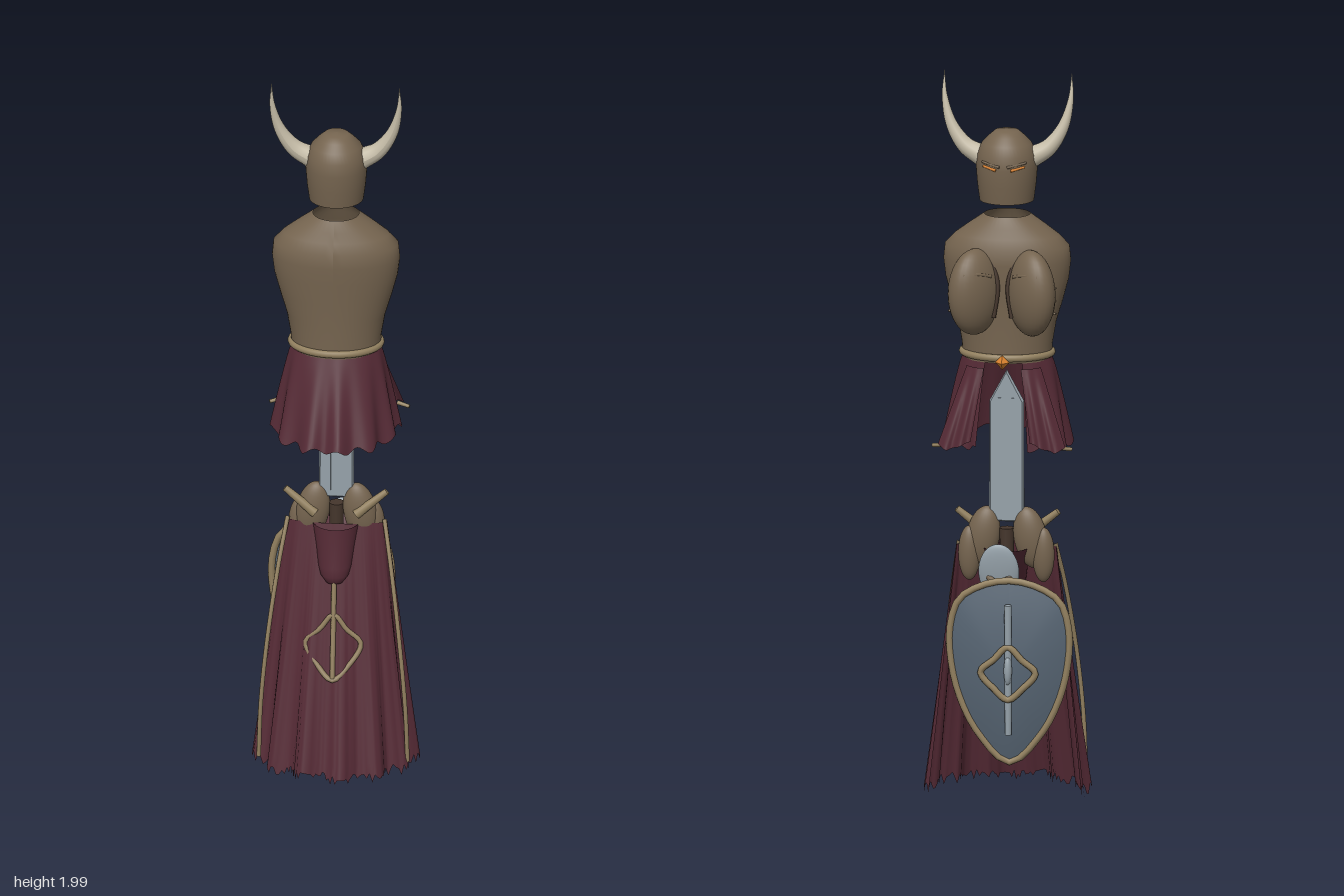
import * as THREE from 'three';

const mat = (color, double) => new THREE.MeshStandardMaterial({ color, side: double ? THREE.DoubleSide : THREE.FrontSide });
const BROWN = mat(0x75644f, true), DARK = mat(0x45362c), CLOTH = mat(0x552a35, true);
const TAN = mat(0x92805f), HORN = mat(0xc4bba6), STEEL = mat(0x96a2aa);
const SLATE = mat(0x566472, true), ORANGE = mat(0xd9822f);
const V = (x, y, z) => new THREE.Vector3(x, y, z);
const { lerp, smoothstep } = THREE.MathUtils;

function add(parent, name, geo, material, x = 0, y = 0, z = 0) {
  const m = new THREE.Mesh(geo, material);
  m.name = name;
  m.position.set(x, y, z);
  parent.add(m);
  return m;
}

// Moves every vertex of a geometry by a rule (x, y, z) => [x, y, z]
function bend(g, rule) {
  const p = g.attributes.position;
  for (let i = 0; i < p.count; i++) p.setXYZ(i, ...rule(p.getX(i), p.getY(i), p.getZ(i)));
  g.computeVertexNormals();
  return g;
}

// Cloth sheet: rule(u, v) gives the point, v = 0 at the top
const sheet = (rule, nu, nv) =>
  bend(new THREE.PlaneGeometry(1, 1, nu, nv), (x, y) => rule(x + 0.5, 0.5 - y));

const tube = (pts, r, closed = false) =>
  new THREE.TubeGeometry(new THREE.CatmullRomCurve3(pts.map(p => V(...p)), closed, 'centripetal'), 40, r, 8, closed);

// Straight rod with flat ends between two points
function rod(parent, name, a, b, r0, r1, material) {
  const A = V(...a), B = V(...b);
  const m = add(parent, name, new THREE.CylinderGeometry(r1, r0, A.distanceTo(B), 12), material);
  m.position.copy(A).lerp(B, 0.5);
  m.quaternion.setFromUnitVectors(V(0, 1, 0), B.sub(A).normalize());
  return m;
}

function ball(parent, name, material, pos, size) {
  const m = add(parent, name, new THREE.SphereGeometry(1, 28, 20), material, ...pos);
  m.scale.set(...size);
  return m;
}

// Curved horn whose rings shrink towards the tip
function hornGeometry(s) {
  const c = new THREE.CatmullRomCurve3([V(s * 0.065, 1.772, -0.008), V(s * 0.112, 1.8, -0.006),
    V(s * 0.15, 1.855, 0), V(s * 0.17, 1.93, 0.01), V(s * 0.172, 2, 0.02)]);
  const g = new THREE.TubeGeometry(c, 32, 0.03, 16), p = g.attributes.position, q = V(0, 0, 0);
  for (let i = 0; i < p.count; i++) {
    const t = Math.floor(i / 17) / 32, o = c.getPointAt(t);
    q.fromBufferAttribute(p, i).sub(o).multiplyScalar(1 - 0.98 * t ** 0.9).add(o);
    p.setXYZ(i, q.x, q.y, q.z);
  }
  g.computeVertexNormals();
  return g;
}

const lathe = points => new THREE.LatheGeometry(points.map(p => new THREE.Vector2(...p)), 48);

function helmet() {
  const g = new THREE.Group();
  g.name = 'helmet';
  add(g, 'helmetShell', lathe([[0.073, 1.655], [0.079, 1.7], [0.083, 1.75], [0.08, 1.785], [0.067, 1.812],
    [0.048, 1.832], [0.032, 1.846], [0, 1.849]]).scale(1, 1, 0.97), BROWN, 0, 0, -0.01);
  for (const s of [-1, 1]) {
    add(g, 'horn', hornGeometry(s), HORN);
    rod(g, 'eyeSlit', [s * 0.02, 1.752, -0.0885], [s * 0.056, 1.76, -0.071], 0.004, 0.003, ORANGE);
    rod(g, 'brow', [s * 0.01, 1.761, -0.089], [s * 0.06, 1.771, -0.068], 0.004, 0.003, BROWN);
  }
  return g;
}

function cuirass() {
  const g = new THREE.Group();
  g.name = 'cuirass';
  // flat across the chest, rounder at waist and neck
  const depth = y => 0.56 * lerp(1.3, 1, smoothstep(y, 1.22, 1.46)) * lerp(1, 1.6, smoothstep(y, 1.565, 1.615));
  add(g, 'torsoShell', bend(lathe([[0.12, 1.22], [0.122, 1.26], [0.132, 1.32], [0.15, 1.38], [0.166, 1.44],
    [0.172, 1.49], [0.168, 1.53], [0.142, 1.558], [0.105, 1.585], [0.062, 1.615]]),
  (x, y, z) => [x, y, z * depth(y)]), BROWN);
  for (const s of [-1, 1]) {
    // cups point outwards on the diagonal
    ball(g, 'breastCup', BROWN, [s * 0.076, 1.418, -0.093], [0.082, 0.118, 0.053]).rotation.y = s * Math.PI / 4;
    add(g, 'chestBar', tube([[s * 0.03, 1.465, -0.11], [s * 0.06, 1.475, -0.135], [s * 0.1, 1.475, -0.149]], 0.005), BROWN);
    add(g, 'chestStrap', tube([[s * 0.04, 1.53, -0.083], [s * 0.014, 1.44, -0.097], [s * 0.024, 1.35, -0.1]], 0.006), DARK);
    for (let i = 0; i < 3; i++)
      rod(g, 'sideSpike', [s * 0.12, 1.37 + i * 0.035, -0.1], [s * 0.145, 1.367 + i * 0.035, -0.11], 0.006, 0.003, BROWN);
  }
  const belt = add(g, 'belt', new THREE.TorusGeometry(0.12, 0.01, 10, 48), TAN, 0, 1.235, 0);
  belt.rotation.x = Math.PI / 2;
  belt.scale.set(1, 0.75, 1);
  add(g, 'beltGem', new THREE.OctahedronGeometry(0.02), ORANGE, 0, 1.228, -0.107);
  return g;
}

function skirt() {
  const g = new THREE.Group();
  g.name = 'skirt';
  // pleated main cloth, open in the middle of the -z side
  add(g, 'skirtCloth', sheet((u, v) => {
    const a = lerp(-2.72, 2.72, u), c = Math.cos(a), w = 1 + 0.06 * v * Math.sin(a * 12);
    const rz = c > 0 ? lerp(0.085, 0.18, v) : lerp(0.085, 0.105, v);
    return [Math.sin(a) * lerp(0.12, 0.168, v ** 0.8) * w, lerp(1.225, 0.985 + 0.008 * Math.sin(a * 17), v), c * rz * w];
  }, 144, 12), CLOTH);
  for (const s of [-1, 1]) {
    add(g, 'hipPanel', sheet((u, v) => {
      const wave = 0.008 * v * Math.sin(u * 14);
      return [s * (lerp(0.05, 0.08, v) + u * lerp(0.05, 0.092, v)),
        lerp(1.21, 0.99 + 0.04 * Math.abs(u - 0.7), v), lerp(-0.105, -0.155, v) + wave + u * u * lerp(0.03, 0.025, v)];
    }, 20, 10), CLOTH);
    rod(g, 'hipPin', [s * 0.155, 1.0, -0.12], [s * 0.188, 0.995, -0.108], 0.006, 0.005, TAN);
  }
  return g;
}

function sword() {
  const s = new THREE.Shape([[-0.043, 0.785], [-0.03, 0.772], [0.03, 0.772], [0.043, 0.785], [0.042, 1.1], [0, 1.18], [-0.042, 1.1]]
    .map(p => new THREE.Vector2(...p)));
  const g = new THREE.Group();
  g.name = 'sword';
  add(g, 'blade', new THREE.ExtrudeGeometry(s, { depth: 0.008, bevelThickness: 0.006, bevelSize: 0.004, bevelSegments: 1 }), STEEL, 0, 0, -0.016);
  for (const x of [-0.018, 0.018]) add(g, 'bladeRib', new THREE.BoxGeometry(0.007, 0.32, 0.026), STEEL, x, 0.95, -0.012);
  rod(g, 'swordGrip', [0, 0.6, -0.012], [0, 0.75, -0.012], 0.018, 0.02, DARK);
  return g;
}

function cape() {
  const g = new THREE.Group();
  g.name = 'cape';
  const jag = i => (Math.abs(Math.sin(i * 12.99) * 437.5) % 1) * 0.035;
  add(g, 'capeCloth', sheet((u, v) => {
    const a = lerp(-1.68, 1.68, u), w = 1 + lerp(0.01, 0.07, v) * Math.sin(a * 13);
    return [Math.sin(a) * lerp(0.135, 0.212, v) * w, lerp(0.7, 0.006 + jag(Math.round(u * 120)), v),
      lerp(-0.012, 0.018, v) + Math.cos(a) * lerp(0.03, 0.17, v) * w];
  }, 120, 20), CLOTH);
  // tapered hood, its tip leaning out over the cape
  add(g, 'hood', bend(lathe([[0, 0.54], [0.022, 0.545], [0.038, 0.565], [0.045, 0.59], [0.053, 0.64], [0.065, 0.7]]),
    (x, y, z) => [x, y, z * lerp(0.75, 1.1, (y - 0.54) / 0.16) - 0.01 + (0.7 - y) * 0.42]), CLOTH);
  // emblem follows the slope of the cloth
  const z = y => lerp(0.194, 0.024, y / 0.7);
  add(g, 'emblemLine', tube([[0, 0.58, z(0.55)], [0, 0.44, z(0.44)], [0, 0.29, z(0.29)]], 0.007), TAN);
  const d = [[0, 0.46], [0.035, 0.42], [0.074, 0.38], [0.04, 0.32], [0, 0.285], [-0.04, 0.32], [-0.074, 0.38], [-0.035, 0.42]];
  add(g, 'emblemDiamond', tube(d.map(([x, y]) => [x, y, z(y) - Math.abs(x) * 0.18]), 0.007, true), TAN);
  for (const s of [-1, 1]) {
    add(g, 'sideCord', tube([[s * 0.13, 0.71, 0], [s * 0.152, 0.58, 0.045], [s * 0.178, 0.38, 0.088], [s * 0.194, 0.2, 0.1], [s * 0.2, 0.04, 0.095]], 0.006), TAN);
    // shoulder plates with tusks
    ball(g, 'shoulderPlate', BROWN, [s * 0.064, 0.725, -0.012], [0.045, 0.085, 0.03]).rotation.z = s * 0.18;
    ball(g, 'shoulderLowerPlate', BROWN, [s * 0.1, 0.68, -0.02], [0.03, 0.075, 0.024]);
    rod(g, 'shoulderTusk', [s * 0.055, 0.728, 0.015], [s * 0.137, 0.795, 0.005], 0.014, 0.009, TAN);
  }
  return g;
}

function arms() {
  const g = new THREE.Group();
  g.name = 'armGuards';
  // upright steel plate with curved ribs
  ball(g, 'steelPlate', STEEL, [0.012, 0.645, -0.086], [0.055, 0.08, 0.016]).rotation.x = -0.15;
  for (let i = 0; i < 4; i++) {
    const y = 0.63 - i * 0.033;
    add(g, 'plateRib', tube([[-0.035, y + 0.015, -0.075], [0.01, y - 0.012, -0.11], [0.055, y + 0.015, -0.075]], 0.009), BROWN);
  }
  // forearm reaching to the shield
  rod(g, 'forearm', [0.045, 0.44, -0.015], [0.035, 0.46, -0.145], 0.05, 0.04, DARK);
  for (const z of [-0.03, -0.055]) add(g, 'forearmBand', new THREE.TorusGeometry(0.049, 0.006, 8, 28), BROWN, 0.043, 0.444, z);
  rod(g, 'bracer', [0.05, 0.36, -0.01], [0.05, 0.5, -0.005], 0.026, 0.034, BROWN);
  ball(g, 'fist', DARK, [0.05, 0.33, -0.025], [0.026, 0.035, 0.026]);
  rod(g, 'hangingStrap', [0.105, 0.24, 0.02], [0.1, 0.36, 0.01], 0.007, 0.009, BROWN);
  return g;
}

function shield() {
  const g = new THREE.Group();
  g.name = 'shield';
  g.position.set(-0.025, 0.388, -0.153);
  const half = [[0.07, 0.237], [0.135, 0.197], [0.16, 0.12], [0.158, 0.03], [0.135, -0.07], [0.085, -0.17]];
  const outline = [[0, 0.25], ...half, [0, -0.25], ...half.map(([x, y]) => [-x, y]).reverse()].map(([x, y]) => [x, y, 0]);
  add(g, 'shieldRim', tube(outline, 0.0095, true), TAN);
  // domed face and flat back share the rim curve
  const curve = new THREE.CatmullRomCurve3(outline.map(p => V(...p)), true, 'centripetal');
  for (const [name, h] of [['shieldFace', 0.03], ['shieldBack', 0.004]])
    add(g, name, sheet((u, v) => {
      const p = curve.getPoint(u % 1);
      return [p.x * v, p.y * v, -h * (1 - v * v)];
    }, 64, 8), SLATE);
  add(g, 'shieldDiamond', tube([[0, 0.075, -0.035], [0.038, 0.04, -0.035], [0.074, 0.005, -0.033], [0.038, -0.04, -0.035],
    [0, -0.07, -0.035], [-0.038, -0.04, -0.035], [-0.074, 0.005, -0.033], [-0.038, 0.04, -0.035]], 0.009, true), TAN);
  rod(g, 'shieldBar', [0, -0.168, -0.026], [0, 0.19, -0.032], 0.009, 0.01, STEEL);
  ball(g, 'shieldBoss', STEEL, [0, 0.01, -0.034], [0.011, 0.04, 0.014]);
  return g;
}

export function createModel() {
  const model = new THREE.Group();
  model.name = 'armourSet';
  model.add(helmet(), cuirass(), skirt(), sword(), cape(), arms(), shield());
  return model;
}
